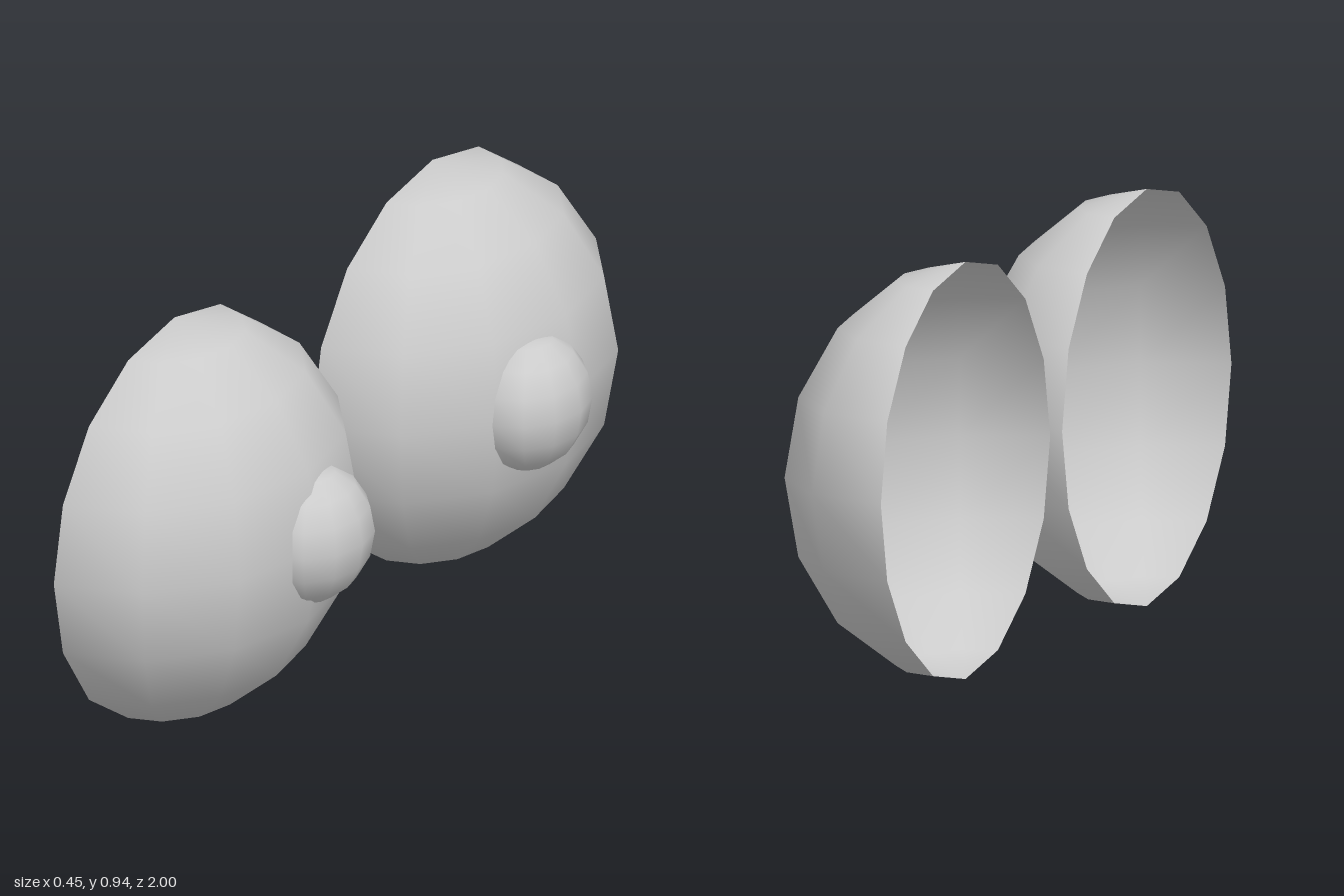
import * as THREE from 'three';

const material = new THREE.MeshStandardMaterial({ color: 0xcccccc, side: THREE.DoubleSide });

// Open half ellipsoid bulging towards +x, poles on the y axis
function halfDome(name, depth, height, width) {
  const geometry = new THREE.SphereGeometry(1, 6, 8, Math.PI / 2, Math.PI);
  geometry.scale(depth, height, width);
  const mesh = new THREE.Mesh(geometry, material);
  mesh.name = name;
  return mesh;
}

export function createModel() {
  const model = new THREE.Group();
  model.name = 'domePair';
  const centreY = 0.468;

  const sides = [
    { name: 'front', domeZ: 0.517, capZ: 0.449, turn: 0.035 },
    { name: 'rear', domeZ: -0.517, capZ: -0.423, turn: 0.07 },
  ];

  for (const { name, domeZ, capZ, turn } of sides) {
    // Large hollow shell
    const shell = halfDome(name + 'Shell', 0.384, 0.468, 0.483);
    shell.position.set(-0.227, centreY, domeZ);

    // Small raised cap, offset towards the middle and slightly turned
    const cap = halfDome(name + 'Cap', 0.133, 0.157, 0.164);
    cap.position.set(0.091, centreY, capZ);
    cap.rotation.y = turn;

    model.add(shell, cap);
  }
  return model;
}
